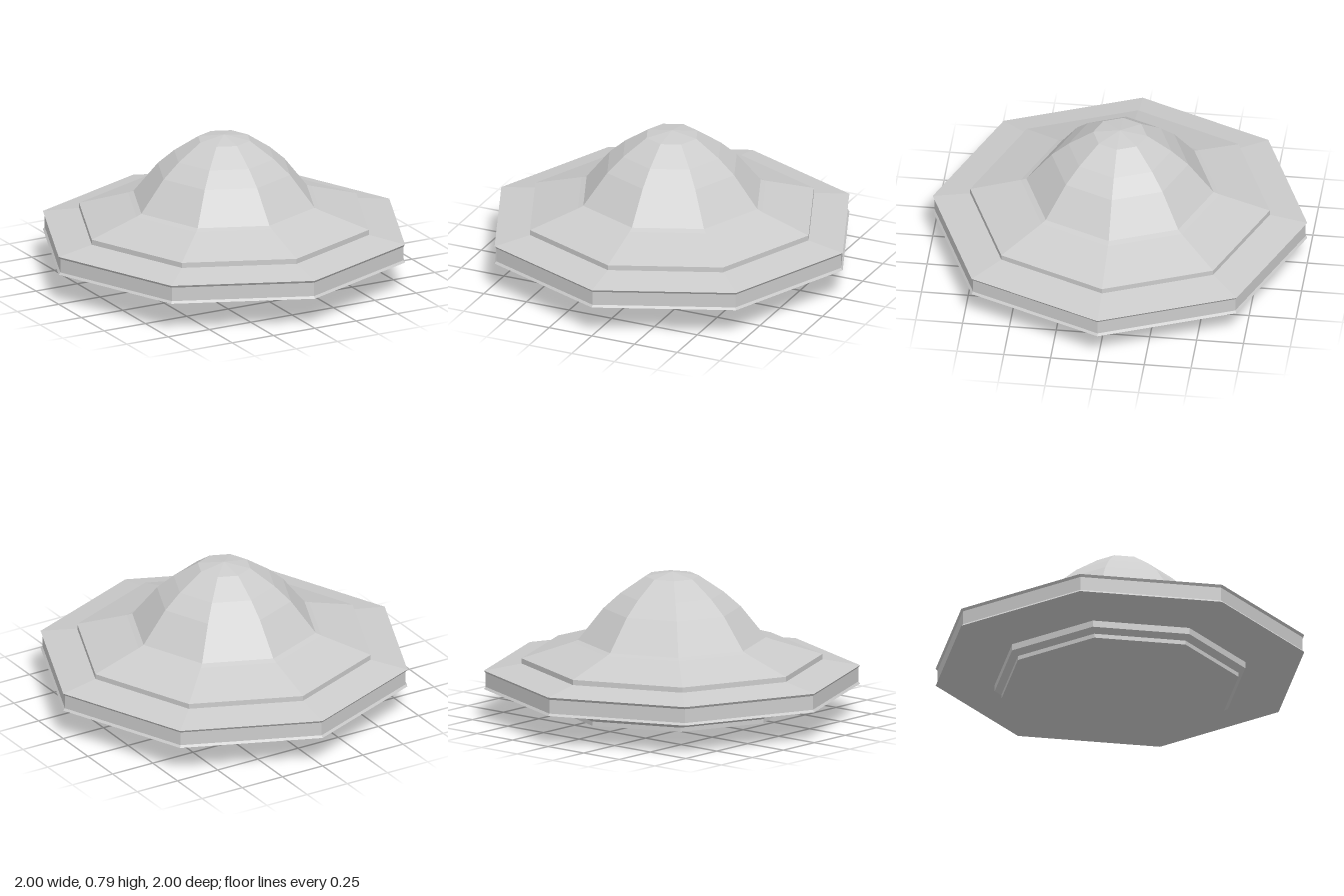
import * as THREE from 'three';

const SIDES = 8;

export function createModel() {
  const group = new THREE.Group();
  const material = new THREE.MeshStandardMaterial({
    color: 0xcccccc, flatShading: true, side: THREE.DoubleSide,
  });

  // Eight-sided ring or cap from a [radius, height] profile, bottom to top
  const addPart = (name, profile) => {
    const points = profile.map(([r, y]) => new THREE.Vector2(r, y));
    const mesh = new THREE.Mesh(new THREE.LatheGeometry(points, SIDES), material);
    mesh.name = name;
    group.add(mesh);
  };

  // Shallow cone and two stepped collars underneath
  addPart('belly', [[0, 0.005], [0.643, 0.06], [0.643, 0.083], [0.68, 0.107], [0.68, 0.143]]);

  // Underside of the disc
  addPart('lowerHull', [[0.68, 0.143], [1, 0.17]]);

  // Outer edge with a shallow groove
  addPart('rim', [[1, 0.17], [0.99, 0.182], [0.99, 0.257], [1, 0.27]]);

  // Sloping deck with a raised step
  addPart('upperHull', [[1, 0.27], [0.8, 0.306], [0.8, 0.334], [0.53, 0.418]]);

  // Faceted cabin dome
  addPart('dome', [[0.53, 0.418], [0.5, 0.43], [0.365, 0.6], [0.275, 0.68], [0.143, 0.77], [0, 0.793]]);

  return group;
}
